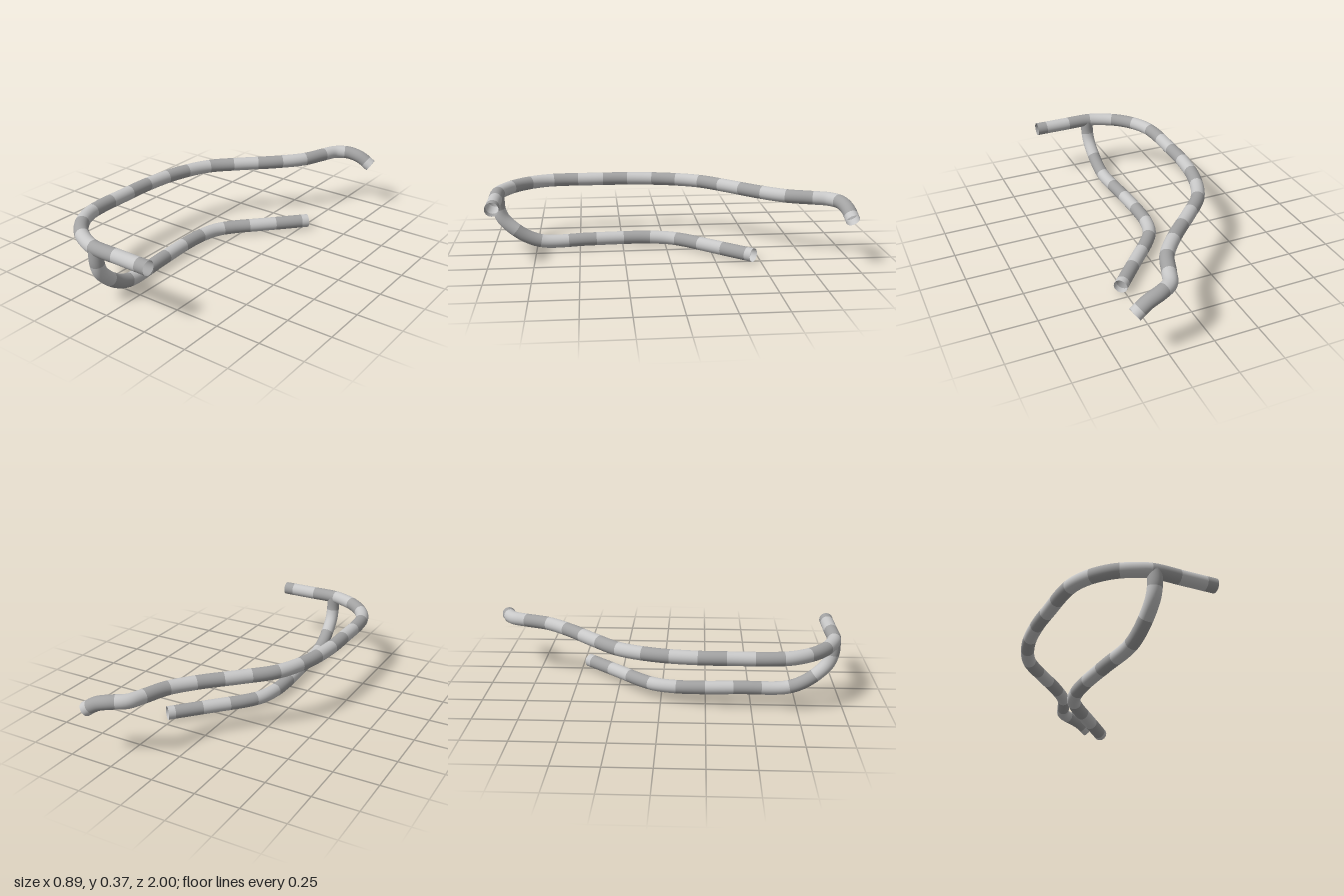
import * as THREE from 'three';

const RADIUS = 0.0385;

// A stretch of a longer curve, measured by arc length fractions
class Stretch extends THREE.Curve {
  constructor(base, from, to) {
    super();
    Object.assign(this, { base, from, to });
  }
  at(t) { return Math.min(1, this.from + (this.to - this.from) * t); }
  getPoint(t) { return this.base.getPointAt(this.at(t)); }
  getTangent(t) { return this.base.getTangentAt(this.at(t)); }
}

// Open pipe made of alternating bands
function bandedPipe(name, points, firstBand, band, materials) {
  const pipe = new THREE.Group();
  pipe.name = name;
  const path = new THREE.CatmullRomCurve3(points.map(p => new THREE.Vector3(...p)), false, 'centripetal');
  path.arcLengthDivisions = 800;
  const length = path.getLength();
  let start = 0, end = firstBand;
  for (let i = 0; start < length - 0.001; i++) {
    const stretch = new Stretch(path, start / length, Math.min(end, length) / length);
    const mesh = new THREE.Mesh(new THREE.TubeGeometry(stretch, 10, RADIUS, 32), materials[i % 2]);
    mesh.name = name + 'Band' + (i + 1);
    pipe.add(mesh);
    start = end;
    end += band;
  }
  return pipe;
}

export function createModel() {
  const model = new THREE.Group();
  model.name = 'bentPipes';
  const darkGrey = new THREE.MeshStandardMaterial({ name: 'darkGrey', color: 0xa2a2a2, side: THREE.DoubleSide });
  const lightGrey = new THREE.MeshStandardMaterial({ name: 'lightGrey', color: 0xc8c8c8, side: THREE.DoubleSide });
  const greys = [darkGrey, lightGrey];

  // Upper pipe: level run with a drooping rear tip
  const y = 0.333;
  model.add(bandedPipe('upperPipe', [
    [0.257, y, 0.96], [0.08, y, 0.96], [-0.1, y, 0.958], [-0.19, y, 0.925], [-0.275, y, 0.87],
    [-0.35, y, 0.785], [-0.395, y, 0.69], [-0.41, y, 0.59], [-0.411, y, 0.4], [-0.408, y, 0.2],
    [-0.375, y, -0.02], [-0.295, y, -0.22], [-0.16, y, -0.37], [0, y, -0.53], [0.11, y, -0.67],
    [0.163, y, -0.805], [0.2, y, -0.89], [0.27, 0.331, -0.935], [0.345, 0.312, -0.953], [0.415, 0.268, -0.963],
  ], 0.06, 0.15, greys));

  // Lower pipe: drops from the upper one, then runs back along the floor
  const f = 0.042;
  model.add(bandedPipe('lowerPipe', [
    [-0.085, y, 0.96], [-0.085, 0.25, 0.958], [-0.087, 0.19, 0.937], [-0.09, 0.132, 0.885], [-0.094, 0.075, 0.805],
    [-0.098, f, 0.71], [-0.112, f, 0.45], [-0.123, f, 0.21], [-0.116, f, 0.08], [-0.088, f, -0.03],
    [-0.03, f, -0.118], [0.08, f, -0.24], [0.18, f, -0.35], [0.274, f, -0.455],
  ], 0.09, 0.16, greys));
  return model;
}
